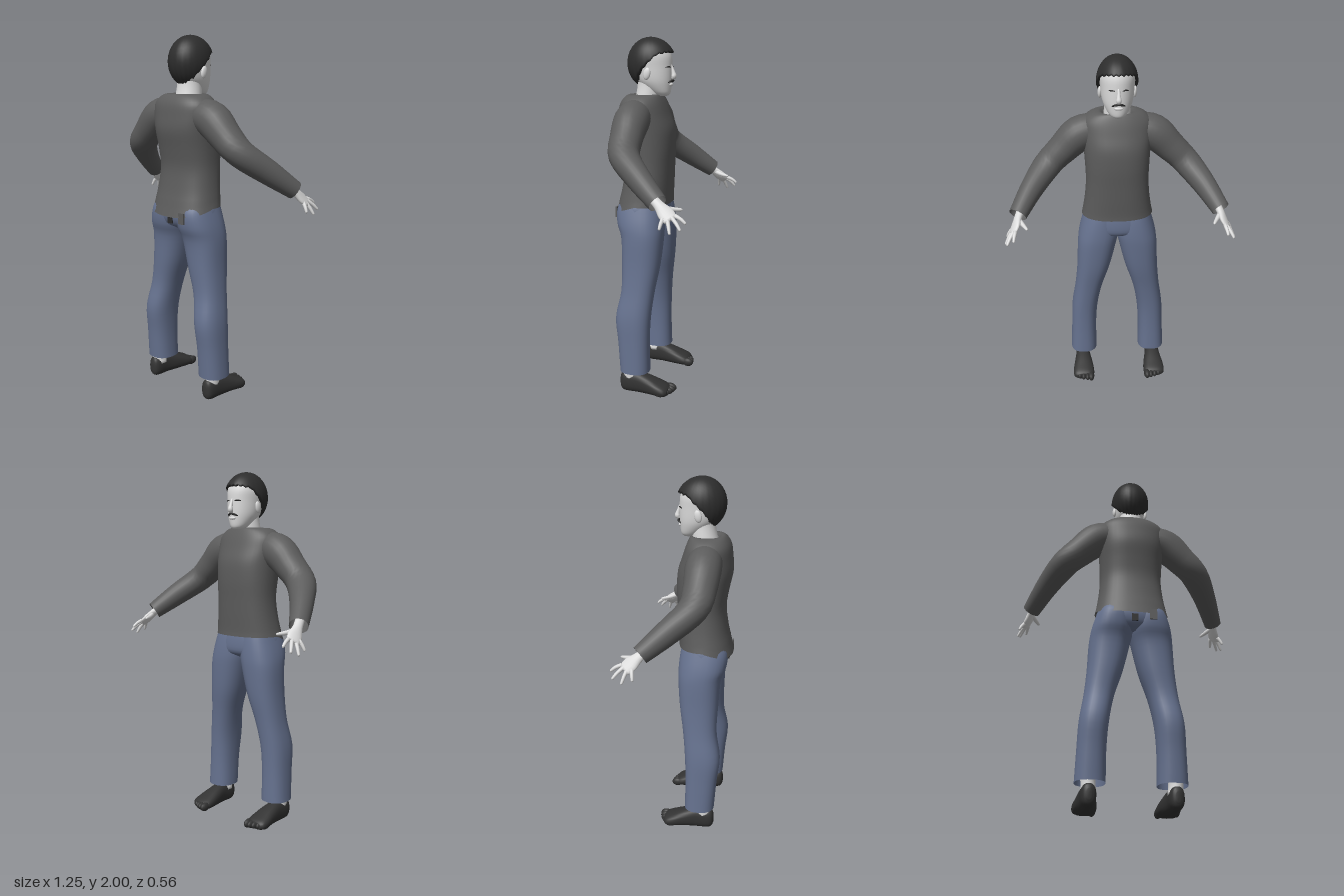
import * as THREE from 'three';

const mat = (name, color, side = THREE.FrontSide) => {
  const m = new THREE.MeshStandardMaterial({ color, side });
  m.name = name;
  return m;
};

// Skin a list of equal-length point rings; the winding is turned outward by signed volume
function loft(rings, capStart = false, capEnd = false) {
  const n = rings[0].length, pts = rings.flat(), tris = [];
  for (let j = 0; j < rings.length - 1; j++) {
    for (let i = 0; i < n; i++) {
      const a = j * n + i, b = j * n + (i + 1) % n;
      tris.push([a, b, a + n], [b, b + n, a + n]);
    }
  }
  const cap = (start, flip) => {
    const mid = new THREE.Vector3();
    for (let i = 0; i < n; i++) mid.addScaledVector(pts[start + i], 1 / n);
    const c = pts.push(mid) - 1;
    for (let i = 0; i < n; i++) {
      const a = start + i, b = start + (i + 1) % n;
      tris.push(flip ? [b, a, c] : [a, b, c]);
    }
  };
  if (capStart) cap(0, true);
  if (capEnd) cap((rings.length - 1) * n, false);
  const centre = new THREE.Vector3();
  pts.forEach(p => centre.addScaledVector(p, 1 / pts.length));
  let volume = 0;
  for (const t of tris) {
    const [a, b, c] = t.map(i => pts[i].clone().sub(centre));
    volume += a.dot(b.cross(c));
  }
  const g = new THREE.BufferGeometry().setFromPoints(pts);
  g.setIndex(tris.flatMap(t => volume < 0 ? [t[0], t[2], t[1]] : t));
  g.computeVertexNormals();
  return g;
}

// Smoothly fill in rows between a few key rows
function smooth(rows, steps = 4) {
  const w = rows[0].length, out = [];
  const f = new THREE.CubicInterpolant(rows.map((_, i) => i), new Float32Array(rows.flat()), w);
  for (let k = 0; k <= (rows.length - 1) * steps; k++) out.push(Array.from(f.evaluate(k / steps)));
  return out;
}

// Rounded outline; e < 1 makes it squarer
function outline(n, e, place) {
  return Array.from({ length: n }, (_, i) => {
    const t = i / n * Math.PI * 2, c = Math.cos(t), s = Math.sin(t);
    return place(Math.sign(c) * Math.abs(c) ** e, Math.sign(s) * Math.abs(s) ** e);
  });
}

// Level rings from rows of [y, x0, x1, zFront, zBack]
const levels = (rows, s = 1, n = 32, e = 0.85, hem = () => 0) =>
  smooth(rows).map(([y, x0, x1, z0, z1], j) => outline(n, e, (c, q) => new THREE.Vector3(
    s * ((x0 + x1) / 2 + c * (x1 - x0) / 2), y + hem(j, q), (z0 + z1) / 2 + q * (z1 - z0) / 2)));

// Rings along a path of [x, y, z, a, b]; ref is the direction of radius a
function along(rows, s = 1, n = 12, ref = [0, 1, 0], steps = 4) {
  const path = smooth(rows, steps), at = i => new THREE.Vector3(...path[i].slice(0, 3));
  return path.map((row, i) => {
    const t = at(Math.min(i + 1, path.length - 1)).sub(at(Math.max(i - 1, 0))).normalize();
    const u = new THREE.Vector3(...ref);
    u.addScaledVector(t, -u.dot(t)).normalize();
    const v = t.clone().cross(u);
    return outline(n, 1, (c, q) => {
      const p = at(i).addScaledVector(u, c * row[3]).addScaledVector(v, q * (row[4] ?? row[3]));
      p.x *= s;
      return p;
    });
  });
}

export function createModel() {
  const model = new THREE.Group();
  const skin = mat('skin', 0xdcdcdc);
  const shirt = mat('shirt grey', 0x5c5c5c, THREE.DoubleSide);
  const denim = mat('denim blue', 0x66728f, THREE.DoubleSide);
  const hairMat = mat('hair black', 0x2d2d2d, THREE.DoubleSide);
  const shoeMat = mat('shoe black', 0x333333);
  const add = (name, geometry, material) => {
    const mesh = new THREE.Mesh(geometry, material);
    mesh.name = name;
    model.add(mesh);
    return mesh;
  };

  // Sweater body, with the hem dipping at the back
  const body = [
    [1.07, 0.205, -0.03, 0.272], [1.12, 0.197, -0.03, 0.252], [1.2, 0.185, -0.035, 0.235],
    [1.3, 0.177, -0.04, 0.225], [1.4, 0.18, -0.045, 0.24], [1.5, 0.187, -0.04, 0.26],
    [1.58, 0.195, -0.015, 0.255], [1.64, 0.19, 0.005, 0.245], [1.68, 0.15, 0.022, 0.222],
    [1.693, 0.1, 0.032, 0.2], [1.68, 0.075, 0.045, 0.175],
  ].map(([y, x, z0, z1]) => [y, -x, x, z0, z1]);
  add('sweaterBody', loft(levels(body, 1, 40, 0.85,
    (j, q) => j < 4 ? (0.015 - 0.05 * Math.max(0, q)) * (1 - j / 4) : 0)), shirt);
  add('sweaterTail', new THREE.BoxGeometry(0.04, 0.06, 0.008).translate(0.1, 1.035, 0.258), shirt);

  // Hips of the jeans and the rear belt loop
  add('jeansHips', loft(levels([
    [0.96, -0.1, 0.1, 0.03, 0.19], [0.99, -0.19, 0.19, -0.012, 0.235],
    [1.06, -0.2, 0.2, -0.015, 0.25], [1.14, -0.17, 0.17, 0, 0.22],
  ]), true, true), denim);
  add('beltLoop', new THREE.BoxGeometry(0.035, 0.04, 0.008).translate(0, 1.015, 0.247), hairMat);

  // Neck and head, facing -z
  add('neck', loft(levels([
    [1.62, -0.08, 0.08, 0.04, 0.19], [1.69, -0.073, 0.073, 0.03, 0.17],
    [1.75, -0.068, 0.068, 0.03, 0.16], [1.8, -0.07, 0.07, 0.03, 0.16],
  ], 1, 24, 1), true, true), skin);
  add('head', loft(levels([
    [1.685, -0.025, 0.025, -0.012, 0.05], [1.7, -0.048, 0.048, -0.025, 0.085],
    [1.74, -0.072, 0.072, -0.031, 0.14], [1.78, -0.085, 0.085, -0.034, 0.175],
    [1.84, -0.092, 0.092, -0.034, 0.195], [1.9, -0.096, 0.096, -0.03, 0.2],
    [1.95, -0.08, 0.08, -0.005, 0.175], [1.98, -0.045, 0.045, 0.04, 0.13],
  ], 1, 32, 1), true, true), skin);
  add('nose', loft(along([
    [0, 1.85, -0.03, 0.006], [0, 1.81, -0.043, 0.011],
    [0, 1.79, -0.046, 0.015], [0, 1.777, -0.036, 0.009],
  ], 1, 12, [1, 0, 0]), true, true), skin);
  add('lips', new THREE.SphereGeometry(1, 16, 8).scale(0.024, 0.009, 0.01).translate(0, 1.745, -0.03), skin);
  add('moustache', loft(along([
    [-0.034, 1.757, -0.022, 0.003], [-0.018, 1.766, -0.037, 0.006], [0, 1.769, -0.041, 0.005],
    [0.018, 1.766, -0.037, 0.006], [0.034, 1.757, -0.022, 0.003],
  ], 1, 8), true, true), hairMat);

  // Hair cap: hairline height follows the angle from front to nape
  const line = [1.92, 1.918, 1.905, 1.845, 1.775, 1.75, 1.742];
  const hairRings = [];
  for (let j = 0; j <= 15; j++) {
    hairRings.push(Array.from({ length: 48 }, (_, i) => {
      const f = i / 48 * Math.PI * 2, k = Math.abs(i > 24 ? 48 - i : i) / 4;
      const lo = Math.floor(k), edge = THREE.MathUtils.lerp(line[lo], line[Math.min(lo + 1, 6)], k - lo)
        + (i % 2 ? 0.004 : -0.004);
      const th = Math.acos((edge - 1.86) / 0.14) * Math.max(Math.min(j, 14) / 14, 0.01);
      const r = Math.sin(th) * (j === 15 ? 0.85 : 1) * (i % 24 === 0 ? 0.98 : 1);
      const depth = 0.13 + 0.014 * Math.max(0, Math.cos(f));
      return new THREE.Vector3(0.112 * r * Math.sin(f), 1.86 + 0.14 * Math.cos(th),
        0.088 - depth * r * Math.cos(f));
    }));
  }
  add('hair', loft(hairRings, true), hairMat);

  for (const [side, s] of [['left', 1], ['right', -1]]) {
    // Ear and closed eyelid line
    const ear = new THREE.SphereGeometry(1, 14, 10).scale(0.011, 0.033, 0.02);
    add(side + 'Ear', ear.rotateX(-0.2).translate(s * 0.094, 1.805, 0.078), skin);
    add(side + 'Eyelid', loft(along([
      [0.019, 1.839, -0.033, 0.002], [0.036, 1.842, -0.027, 0.004], [0.052, 1.838, -0.015, 0.002],
    ], s, 8), true, true), hairMat);

    // Sleeve
    add(side + 'Sleeve', loft(along([
      [0.09, 1.59, 0.128, 0.085, 0.085], [0.205, 1.56, 0.125, 0.098, 0.096],
      [0.3, 1.475, 0.122, 0.085, 0.088], [0.385, 1.395, 0.1, 0.075, 0.082],
      [0.475, 1.3, -0.01, 0.066, 0.064], [0.553, 1.2, -0.135, 0.05, 0.05],
    ], s, 24), true), shirt);

    // Hand
    const across = new THREE.Vector3(0.36, -0.2, 0.91).normalize();
    const ref = across.toArray();
    add(side + 'Palm', loft(along([
      [0.53, 1.225, -0.095, 0.025, 0.022], [0.55, 1.19, -0.14, 0.027, 0.02],
      [0.565, 1.155, -0.18, 0.041, 0.017], [0.58, 1.128, -0.212, 0.036, 0.011],
    ], s, 16, ref), true, true), skin);
    [[0.573, 1.112, -0.285], [0.61, 1.085, -0.268], [0.622, 1.066, -0.218], [0.616, 1.083, -0.162]]
      .forEach((tip, i) => {
        const root = new THREE.Vector3(0.574, 1.14, -0.2).addScaledVector(across, (i - 1.5) * 0.02);
        const end = new THREE.Vector3(...tip), mid = root.clone().lerp(end, 0.55);
        const near = root.clone().lerp(end, 0.94);
        mid.y += 0.005;
        add(side + 'Finger' + (i + 1), loft(along([
          [...root.toArray(), 0.011], [...mid.toArray(), 0.0095],
          [...near.toArray(), 0.007], [...tip, 0.003],
        ], s, 10, ref, 2), true, true), skin);
      });
    add(side + 'Thumb', loft(along([
      [0.552, 1.182, -0.15, 0.015], [0.525, 1.17, -0.195, 0.012],
      [0.504, 1.165, -0.237, 0.008], [0.5, 1.165, -0.247, 0.003],
    ], s, 10), true, true), skin);

    // Trouser leg
    add(side + 'TrouserLeg', loft(levels([
      [0.13, 0.133, 0.292, 0.032, 0.202], [0.3, 0.133, 0.285, 0.035, 0.215],
      [0.45, 0.122, 0.278, 0.03, 0.23], [0.6, 0.093, 0.255, 0.015, 0.205],
      [0.75, 0.045, 0.24, -0.008, 0.208], [0.9, 0.008, 0.233, -0.02, 0.218],
      [0.98, -0.01, 0.222, -0.02, 0.245], [1.06, -0.01, 0.2, -0.012, 0.25],
      [1.12, 0, 0.18, 0, 0.22],
    ], s), false, true), denim);

    // Ankle and shoe with five toes
    add(side + 'Ankle', loft(levels([
      [0.08, 0.18, 0.26, 0.09, 0.19], [0.14, 0.186, 0.262, 0.095, 0.185], [0.24, 0.175, 0.265, 0.08, 0.19],
    ], s, 20, 1), true, true), skin);
    const shoe = smooth([
      [0.203, 0.21, 0.235, 0.035, 0.085], [0.192, 0.192, 0.253, 0.01, 0.112], [0.165, 0.183, 0.262, 0, 0.122],
      [0.1, 0.18, 0.265, 0, 0.125], [0.03, 0.166, 0.275, 0, 0.105], [-0.03, 0.157, 0.285, 0, 0.08],
      [-0.07, 0.158, 0.283, 0.003, 0.062], [-0.088, 0.17, 0.265, 0.012, 0.048],
    ]).map(([z, x0, x1, y0, y1]) => outline(24, 0.85, (c, q) => new THREE.Vector3(
      s * ((x0 + x1) / 2 + c * (x1 - x0) / 2), (y0 + y1) / 2 + q * (y1 - y0) / 2, z)));
    add(side + 'Shoe', loft(shoe, true, true), shoeMat);
    for (let i = 0; i < 5; i++) {
      const r = i ? 0.0145 : 0.019;
      const toe = new THREE.SphereGeometry(1, 14, 10).scale(r, i ? 0.022 : 0.026, 0.035);
      toe.translate(s * (0.176 + i * 0.0235), 0.03, -0.085 + 0.003 * i * i * 0.8);
      add(side + 'Toe' + (i + 1), toe, shoeMat);
    }
  }
  return model;
}
